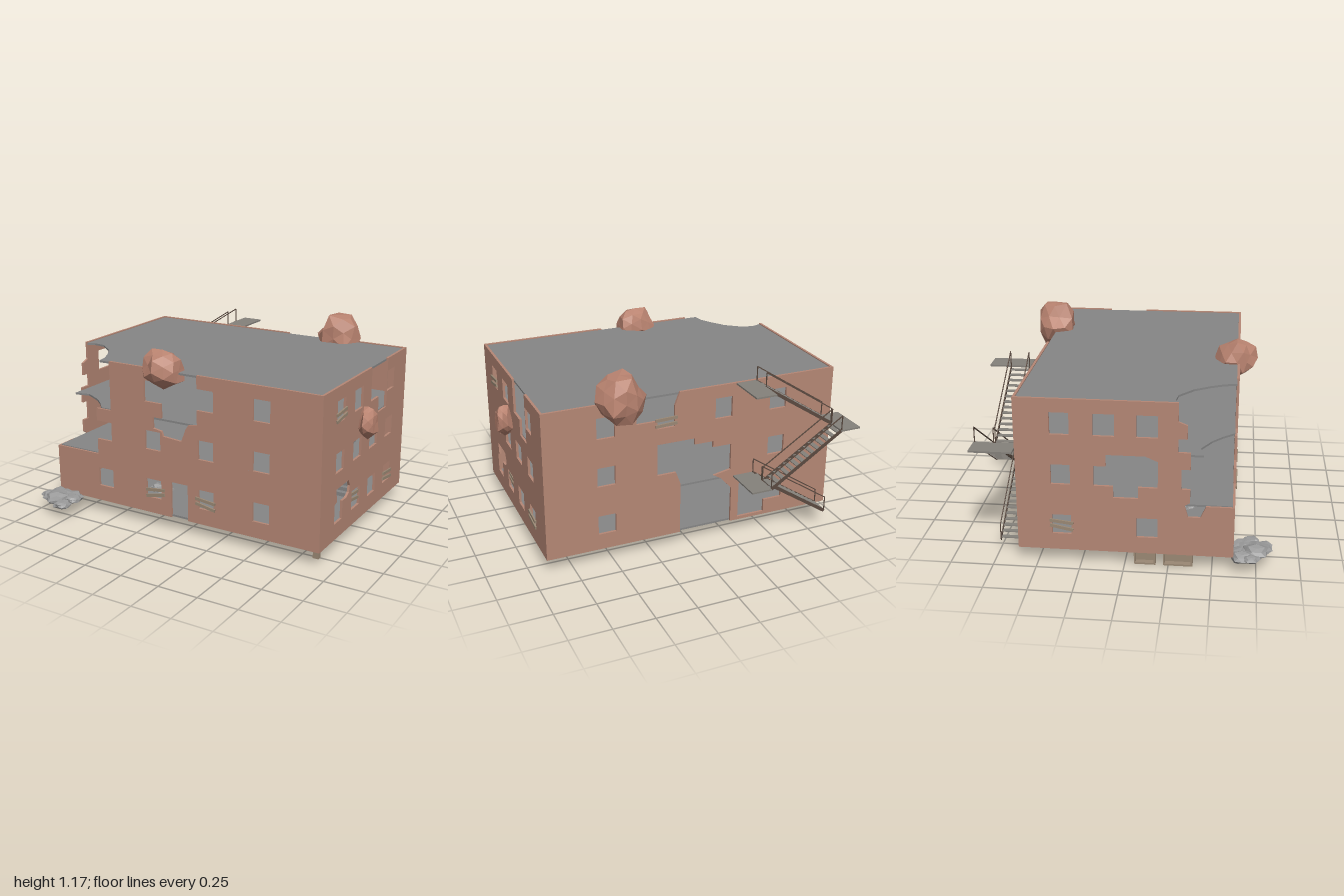
import * as THREE from 'three';

const mat = (color, extra = {}) => new THREE.MeshStandardMaterial({ color, ...extra });
const brick = mat(0xb58775), concrete = mat(0x868686, { side: THREE.DoubleSide });
const rock = mat(0xb98370, { flatShading: true }), debris = mat(0x9a9a9a, { flatShading: true });
const steel = mat(0x85817b), rail = mat(0x5a4a40), timber = mat(0x9a8874);
const yellow = mat(0xa39a3c), red = mat(0x8c3038);

const T = 0.015; // wall thickness
const FLOORS = [[0.19, 0.31], [0.5, 0.62], [0.8, 0.93]];
const X_COLS = [[-0.62, -0.51], [-0.26, -0.15], [0.115, 0.22], [0.48, 0.59]];
const Z_COLS = [[0.32, 0.43], [0.07, 0.19], [-0.17, -0.05], [-0.41, -0.3]];

export function createModel() {
  const model = new THREE.Group();

  const add = (name, geo, material, parent = model) => {
    const m = new THREE.Mesh(geo, material);
    m.name = name;
    parent.add(m);
    return m;
  };
  const box = (name, material, size, pos, rot = [0, 0, 0], parent = model) => {
    const m = add(name, new THREE.BoxGeometry(...size), material, parent);
    m.position.set(...pos);
    m.rotation.set(...rot);
    return m;
  };
  const toShape = (pts) => new THREE.Shape(pts.map((p) => new THREE.Vector2(...p)));
  const extrude = (outline, holes, depth) => {
    const s = toShape(outline);
    s.holes = holes.map((h) => toShape(h));
    return new THREE.ExtrudeGeometry(s, { depth, bevelEnabled: false });
  };
  // rectangular opening from a column and a storey
  const win = (cols, c, f) => {
    const [a, b] = cols[c], [lo, hi] = FLOORS[f];
    return [[a, lo], [b, lo], [b, hi], [a, hi]];
  };
  const wins = (cols, list) => list.map(([c, f]) => win(cols, c, f));

  // front wall: missing corner on one side, a breach in the middle
  const front = [
    [-0.94, 0.09], [-0.08, 0.09], [-0.08, 0.32], [0.04, 0.32], [0.04, 0.09], [0.91, 0.09], [0.91, 1.01],
    [0.11, 1.01], [0.11, 0.93], [0.22, 0.93], [0.22, 0.8], [0.11, 0.8], [0.11, 0.71], [0.05, 0.7],
    [0.03, 0.67], [0, 0.59], [-0.13, 0.6], [-0.14, 0.63], [-0.2, 0.64], [-0.2, 0.71], [-0.14, 0.71],
    [-0.14, 0.8], [-0.26, 0.8], [-0.26, 0.93], [-0.14, 0.93], [-0.14, 1.01], [-0.51, 1.01], [-0.51, 0.7],
    [-0.62, 0.7], [-0.62, 0.62], [-0.51, 0.62], [-0.51, 0.5], [-0.62, 0.5], [-0.62, 0.4], [-0.94, 0.4],
  ];
  add('frontWall', extrude(front, wins(X_COLS, [[0, 0], [1, 0], [2, 0], [3, 0], [1, 1], [2, 1], [3, 1], [3, 2]]), T), brick)
    .position.z = 0.605;

  // back wall: broken open from the ground up to the second storey
  const back = [
    [-0.94, 0.09], [-0.27, 0.09], [-0.27, 0.32], [-0.2, 0.4], [-0.15, 0.43], [-0.26, 0.45], [-0.26, 0.62],
    [-0.14, 0.62], [-0.14, 0.66], [-0.02, 0.66], [-0.02, 0.7], [0.22, 0.7], [0.22, 0.5], [0.1, 0.5],
    [0.07, 0.42], [0.07, 0.09], [0.91, 0.09], [0.91, 1.01], [0.45, 1.01], [0.45, 0.93], [0.35, 0.93],
    [0.35, 0.85], [0.22, 0.85], [0.22, 0.8], [0.11, 0.8], [0.11, 0.93], [0.08, 1.01], [-0.94, 1.01],
  ];
  const backHole = [[-0.32, 0.11], [-0.32, 0.34], [-0.42, 0.37], [-0.42, 0.31], [-0.62, 0.31], [-0.62, 0.19], [-0.5, 0.19], [-0.5, 0.11]];
  add('backWall', extrude(back, [backHole, ...wins(X_COLS, [[3, 0], [3, 1], [3, 2], [1, 2], [0, 1], [0, 2]])], T), brick)
    .position.z = -0.61;

  // side walls, drawn in (z, y)
  const sideWall = (name, outline, holes, x) => {
    const m = add(name, extrude(outline, holes, T).rotateY(-Math.PI / 2), brick);
    m.position.x = x;
  };
  sideWall('rightWall', [
    [-0.595, 0.09], [0.605, 0.09], [0.605, 1.01], [-0.05, 1.01], [-0.05, 0.93], [-0.05, 0.8],
    [-0.17, 0.8], [-0.17, 0.7], [-0.299, 0.7], [-0.299, 1.01], [-0.595, 1.01],
  ], [
    [[0.43, 0.19], [0.43, 0.31], [0.4, 0.32], [0.41, 0.4], [0.24, 0.4], [0.22, 0.36], [0.23, 0.32], [0.27, 0.3], [0.32, 0.3], [0.32, 0.19]],
    ...wins(Z_COLS, [[1, 0], [2, 0], [3, 0], [0, 1], [1, 1], [2, 1], [3, 1], [0, 2], [1, 2]]),
    [[-0.41, 0.8], [-0.305, 0.8], [-0.305, 0.93], [-0.41, 0.93]],
  ], 0.91);
  sideWall('leftWall', [
    [-0.595, 0.09], [0.605, 0.09], [0.605, 0.4], [0.46, 0.4], [0.43, 0.33], [0.36, 0.33], [0.34, 0.4],
    [0.37, 0.42], [0.37, 0.5], [0.32, 0.5], [0.32, 0.62], [0.37, 0.62], [0.37, 0.72], [0.3, 0.72],
    [0.3, 0.8], [0.35, 0.8], [0.35, 0.88], [0.3, 0.9], [0.3, 1.01], [-0.595, 1.01],
  ], [
    [[-0.17, 0.5], [-0.06, 0.5], [-0.06, 0.43], [0.08, 0.43], [0.08, 0.5], [0.19, 0.5], [0.19, 0.66], [0.12, 0.69], [-0.1, 0.69], [-0.1, 0.62], [-0.17, 0.62]],
    ...wins(Z_COLS, [[1, 0], [3, 0], [3, 1], [1, 2], [2, 2], [3, 2]]),
  ], -0.925);

  // floors and roof, drawn in (x, z); the upper ones have a broken corner
  const slab = (name, y, corner) => {
    const pts = [[-0.927, -0.597], [0.897, -0.597], [0.897, 0.607], ...corner];
    add(name, extrude(pts, [], 0.012).rotateX(Math.PI / 2), concrete).position.y = y;
  };
  slab('groundFloor', 0.104, [[-0.927, 0.607]]);
  slab('firstFloor', 0.405, [[-0.927, 0.607]]);
  slab('secondFloor', 0.705, [[-0.59, 0.607], [-0.65, 0.54], [-0.72, 0.48], [-0.83, 0.42], [-0.927, 0.44]]);
  slab('roof', 1.004, [[-0.59, 0.607], [-0.6, 0.54], [-0.64, 0.46], [-0.7, 0.37], [-0.8, 0.29], [-0.88, 0.28], [-0.927, 0.3]]);

  // staircases inside
  [0.105, 0.405].forEach((y0) => {
    for (let i = 0; i < 12; i++) {
      box('indoorStep', concrete, [0.15, 0.025, 0.034], [0.66, y0 + 0.0125 + i * 0.024, -0.18 - i * 0.033]);
    }
  });

  // fire escape: three flights between two columns of landings
  const escape = new THREE.Group();
  escape.name = 'fireEscape';
  model.add(escape);
  const flight = (xa, ya, xb, yb, z) => {
    const n = 14, len = Math.hypot(xb - xa, yb - ya), ang = Math.atan2(yb - ya, xb - xa);
    const mid = [(xa + xb) / 2, (ya + yb) / 2];
    for (let i = 0; i < n; i++) {
      const t = (i + 0.5) / n;
      box('tread', steel, [0.03, 0.005, 0.11], [xa + (xb - xa) * t, ya + (yb - ya) * t, z], [0, 0, 0], escape);
    }
    for (const s of [-1, 1]) {
      box('stringer', rail, [len, 0.02, 0.005], [...mid, z + s * 0.055], [0, 0, ang], escape);
      box('handrail', rail, [len, 0.006, 0.005], [mid[0], mid[1] + 0.095, z + s * 0.055], [0, 0, ang], escape);
      for (const [x, y] of [[xa, ya], [xb, yb]]) {
        box('railPost', rail, [0.005, 0.095, 0.005], [x, y + 0.047, z + s * 0.055], [0, 0, 0], escape);
      }
    }
  };
  flight(-0.87, 0.095, -0.41, 0.4, -0.675);
  flight(-0.41, 0.4, -0.87, 0.7, -0.795);
  flight(-0.87, 0.7, -0.41, 1.0, -0.675);
  [[-0.345, 0.4], [-0.93, 0.7], [-0.345, 1.004]].forEach(([x, y]) => {
    box('landing', steel, [0.13, 0.01, 0.245], [x, y, -0.735], [0, 0, 0], escape);
  });

  // planks nailed over windows, in pairs
  const planks = (x, y, z, alongX, tilt) => {
    [[-0.018, 1], [0.018, 0.6]].forEach(([dy, k]) => {
      if (alongX) box('plank', timber, [0.135, 0.018, 0.01], [x, y + dy, z], [0, 0, tilt * k]);
      else box('plank', timber, [0.01, 0.018, 0.135], [x, y + dy, z], [tilt * k, 0, 0]);
    });
  };
  planks(-0.19, 0.23, 0.625, true, 0.2);
  planks(0.165, 0.23, 0.625, true, -0.18);
  planks(0.165, 0.84, -0.615, true, -0.05);
  planks(0.915, 0.84, 0.38, false, 0.14);
  planks(0.9, 0.26, 0.13, false, -0.16);
  planks(0.915, 0.235, -0.355, false, -0.15);
  planks(-0.945, 0.25, -0.355, false, 0.2);

  // faceted stones: a sphere pushed in and out by a smooth rule
  const stone = (name, material, pos, r, seed) => {
    const g = new THREE.IcosahedronGeometry(1, 1), p = g.attributes.position, v = new THREE.Vector3();
    for (let i = 0; i < p.count; i++) {
      v.fromBufferAttribute(p, i);
      const k = 0.95 + 0.13 * Math.sin(5 * v.x + seed) * Math.cos(4 * v.y - seed) + 0.1 * Math.sin(7 * v.z + 2 * seed + 3 * v.x);
      p.setXYZ(i, v.x * k * r[0], v.y * k * r[1], v.z * k * r[2]);
    }
    g.computeVertexNormals();
    add(name, g, material).position.set(...pos);
  };
  stone('frontBoulder', rock, [-0.13, 1.015, 0.6], [0.13, 0.12, 0.12], 1);
  stone('backBoulder', rock, [0.45, 1.03, -0.61], [0.15, 0.165, 0.14], 2.3);
  stone('sideBoulder', rock, [0.945, 0.71, 0.065], [0.055, 0.1, 0.09], 4);

  // rubble heap at the broken corner, and a small one indoors
  [[-0.91, 0.67, 0.075], [-0.8, 0.68, 0.075], [-0.86, 0.75, 0.085], [-0.79, 0.79, 0.06], [-0.95, 0.72, 0.05], [-0.76, 0.72, 0.055], [-0.87, 0.66, 0.07]]
    .forEach(([x, z, r], i) => stone('rubble', debris, [x, 0.095 + 0.008 * (i % 3 - 1), z], [r, r * 0.45, r], i * 1.7));
  [[-0.4, 0.3], [-0.35, 0.34], [-0.32, 0.3]]
    .forEach(([x, z], i) => stone('rubble', debris, [x, 0.105, z], [0.045, 0.027, 0.04], i * 2.1));

  // cabinets sunk through the floor: open frames with a shelf
  [[0.305, 0.17], [0.115, 0.125]].forEach(([z, w]) => {
    box('cabinetBack', timber, [0.006, 0.1, w], [-0.873, 0.052, z]);
    for (const s of [-1, 1]) box('cabinetSide', timber, [0.04, 0.1, 0.01], [-0.89, 0.052, z + s * (w / 2 - 0.005)]);
    [0.005, 0.075].forEach((y) => box('cabinetShelf', timber, [0.04, 0.01, w], [-0.89, y, z]));
  });
  box('post', timber, [0.035, 0.08, 0.03], [0.86, 0.06, 0.545]);
  box('post', timber, [0.04, 0.04, 0.045], [-0.88, 0.09, -0.38]);
  box('crateBottom', timber, [0.05, 0.02, 0.09], [0.22, 0.09, 0.07]);
  box('yellowPanel', yellow, [0.06, 0.012, 0.15], [0.86, 0.088, 0.43]);
  box('redPanel', red, [0.06, 0.012, 0.09], [0.86, 0.088, 0.12]);

  return model;
}
